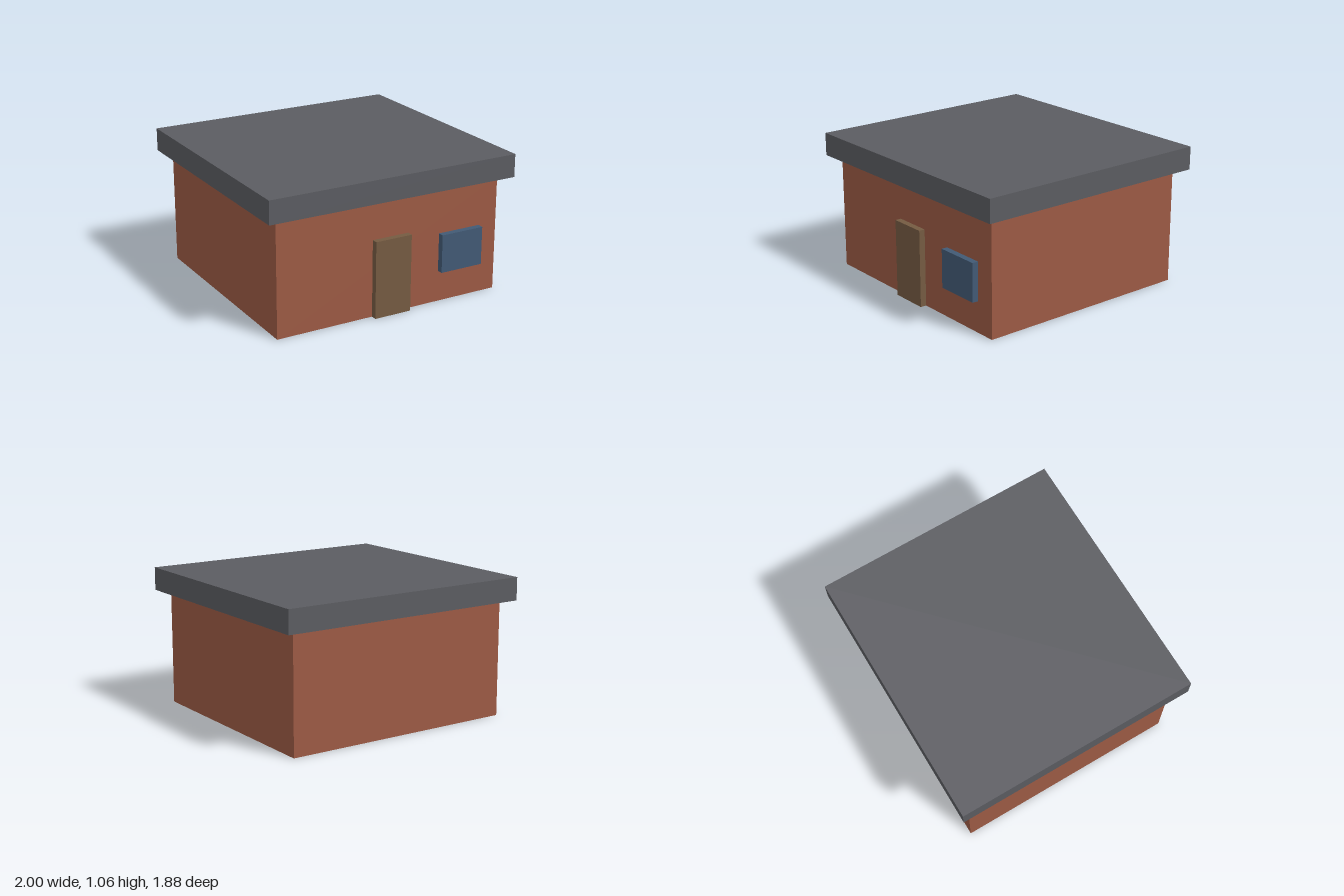
import * as THREE from 'three';

// Box given by its lower and upper limits on each axis
function block(name, color, [x0, x1], [y0, y1], [z0, z1]) {
  const mesh = new THREE.Mesh(
    new THREE.BoxGeometry(x1 - x0, y1 - y0, z1 - z0),
    new THREE.MeshStandardMaterial({ color })
  );
  mesh.position.set((x0 + x1) / 2, (y0 + y1) / 2, (z0 + z1) / 2);
  mesh.name = name;
  return mesh;
}

export function createModel() {
  const house = new THREE.Group();
  house.name = 'house';

  const wallFront = 0.855;
  const eaves = 0.885;
  const trim = [wallFront - 0.02, wallFront + 0.047];

  house.add(
    // Brick body and overhanging flat roof slab
    block('walls', 0x9c5a44, [-0.91, 0.91], [0, eaves], [-wallFront, wallFront]),
    block('roof', 0x5b5c61, [-1, 1], [eaves, 1.06], [-0.94, 0.94]),
    // Door and window stand slightly proud of the front wall
    block('door', 0x755b42, [-0.147, 0.147], [0, 0.587], trim),
    block('window', 0x425a75, [0.412, 0.76], [0.238, 0.53], trim)
  );
  return house;
}
